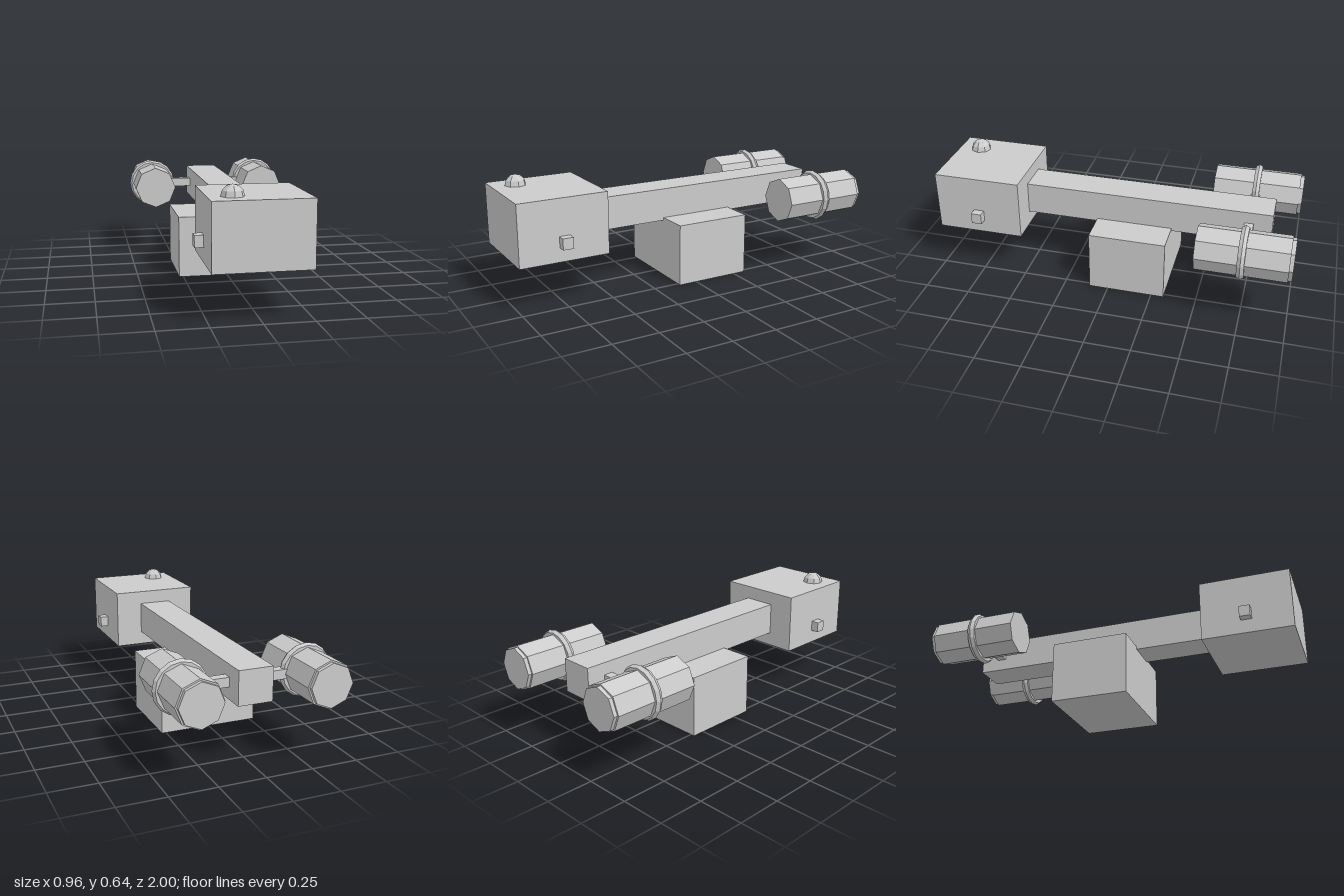
import * as THREE from 'three';

const material = new THREE.MeshStandardMaterial({ color: 0xcccccc, flatShading: true });

function addPart(parent, name, geometry, x, y, z) {
  const mesh = new THREE.Mesh(geometry, material);
  mesh.name = name;
  mesh.position.set(x, y, z);
  parent.add(mesh);
  return mesh;
}

// Box given by its lower and upper limits on each axis
function addBox(parent, name, [x0, x1], [y0, y1], [z0, z1]) {
  const geometry = new THREE.BoxGeometry(x1 - x0, y1 - y0, z1 - z0);
  return addPart(parent, name, geometry, (x0 + x1) / 2, (y0 + y1) / 2, (z0 + z1) / 2);
}

// Eight-sided cylinder lying along z
function octagonalDrum(radius, length) {
  return new THREE.CylinderGeometry(radius, radius, length, 8).rotateX(Math.PI / 2);
}

function createEngine(name) {
  const engine = new THREE.Group();
  engine.name = name;
  addPart(engine, 'engineBody', octagonalDrum(0.123, 0.48), 0, 0, 0);
  addPart(engine, 'engineNozzle', octagonalDrum(0.114, 0.04), 0, 0, -0.24);
  addPart(engine, 'engineRing', new THREE.TorusGeometry(0.121, 0.022, 6, 16), 0, 0, 0);
  return engine;
}

export function createModel() {
  const model = new THREE.Group();
  model.name = 'spaceship';

  // Hull: cabin at the front, long spine, cargo pod below
  addBox(model, 'cabin', [-0.243, 0.243], [0.247, 0.58], [0.513, 1]);
  addBox(model, 'spine', [-0.092, 0.092], [0.325, 0.505], [-0.865, 0.53]);
  addBox(model, 'cargoPod', [-0.273, 0.273], [0, 0.34], [-0.32, 0.105]);

  // Lookout dome on the cabin roof
  const dome = new THREE.SphereGeometry(0.058, 8, 3, 0, Math.PI * 2, 0, Math.PI / 2);
  addPart(model, 'roofDome', dome, -0.123, 0.579, 0.875);

  // Mirrored side parts
  for (const [side, s] of [['left', 1], ['right', -1]]) {
    const span = (a, b) => (s > 0 ? [a, b] : [-b, -a]);
    addBox(model, side + 'Thruster', span(0.23, 0.288), [0.323, 0.383], [0.727, 0.785]);
    addBox(model, side + 'Strut', span(0.08, 0.25), [0.39, 0.44], [-0.765, -0.715]);
    const engine = createEngine(side + 'Engine');
    engine.position.set(s * 0.337, 0.415, -0.74);
    model.add(engine);
  }

  return model;
}
